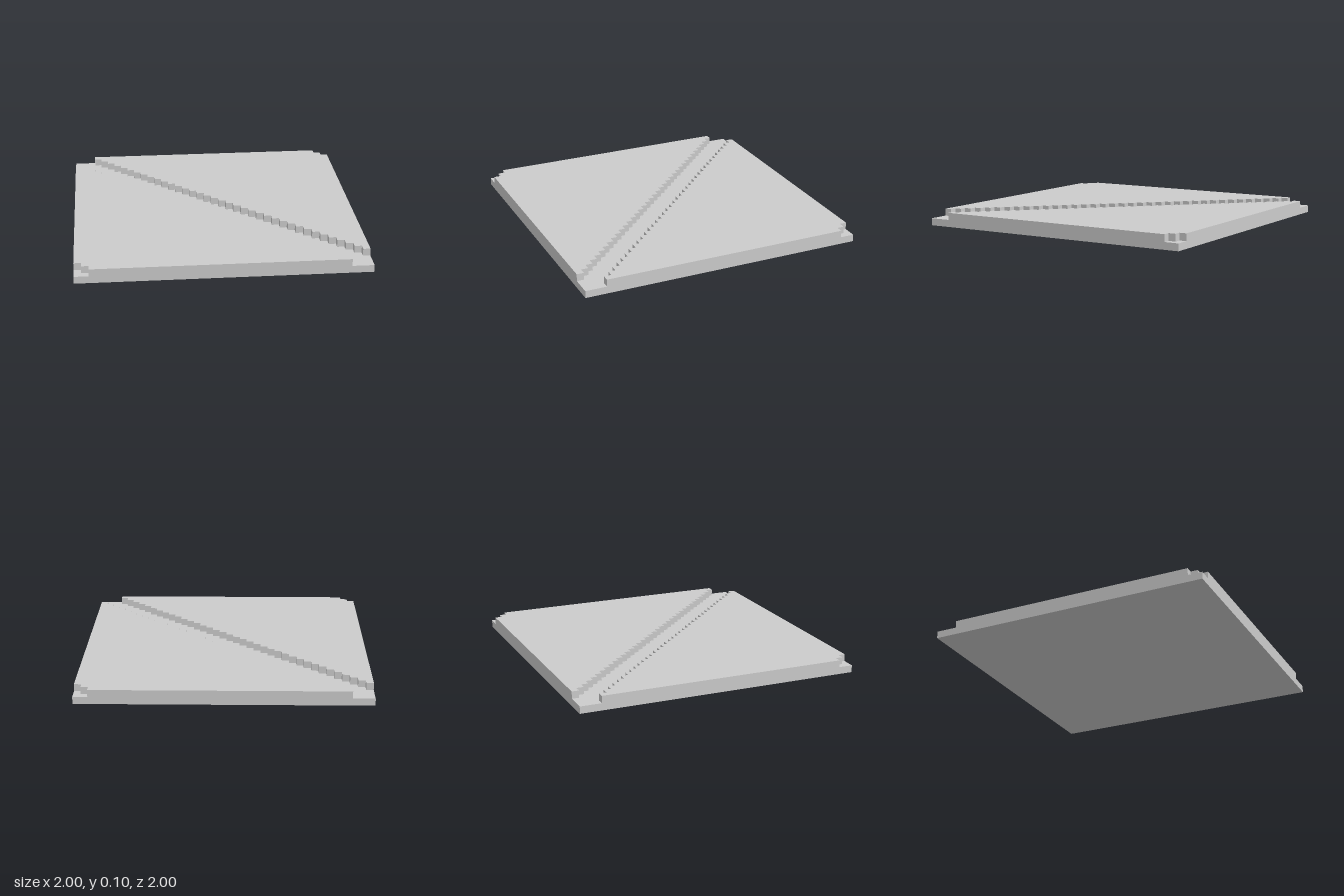
import * as THREE from 'three';

const CELLS = 40, CELL = 2 / CELLS, LAYER = 0.05;
const GAP = 3; // cells between the diagonal and each raised plate

// Grid column and row (row 0 at the back) to shape coordinates
const corner = (col, row) => new THREE.Vector2(col * CELL - 1, 1 - row * CELL);

// Raised half: stepped along the diagonal, with a stepped notch at its far corner
function plateShape() {
  const points = [
    corner(38, 0), corner(38, 1), corner(39, 1), corner(39, 2),
    corner(40, 2), corner(40, CELLS - GAP),
  ];
  for (let row = CELLS - GAP - 1; row >= 0; row--) {
    points.push(corner(row + GAP, row + 1), corner(row + GAP, row));
  }
  return new THREE.Shape(points);
}

export function createModel() {
  const group = new THREE.Group();
  group.name = 'groovedTile';
  const material = new THREE.MeshStandardMaterial({ color: 0xcccccc, flatShading: true });

  // Square slab, its top forming the groove floor
  const base = new THREE.Mesh(new THREE.BoxGeometry(2, LAYER, 2), material);
  base.name = 'base';
  base.position.y = LAYER / 2;
  group.add(base);

  // Two identical plates, one turned half way round
  const plateGeometry = new THREE.ExtrudeGeometry(plateShape(), { depth: LAYER, bevelEnabled: false });
  plateGeometry.rotateX(-Math.PI / 2);
  ['backPlate', 'frontPlate'].forEach((name, i) => {
    const plate = new THREE.Mesh(plateGeometry, material);
    plate.name = name;
    plate.position.y = LAYER;
    plate.rotation.y = i * Math.PI;
    group.add(plate);
  });

  return group;
}
